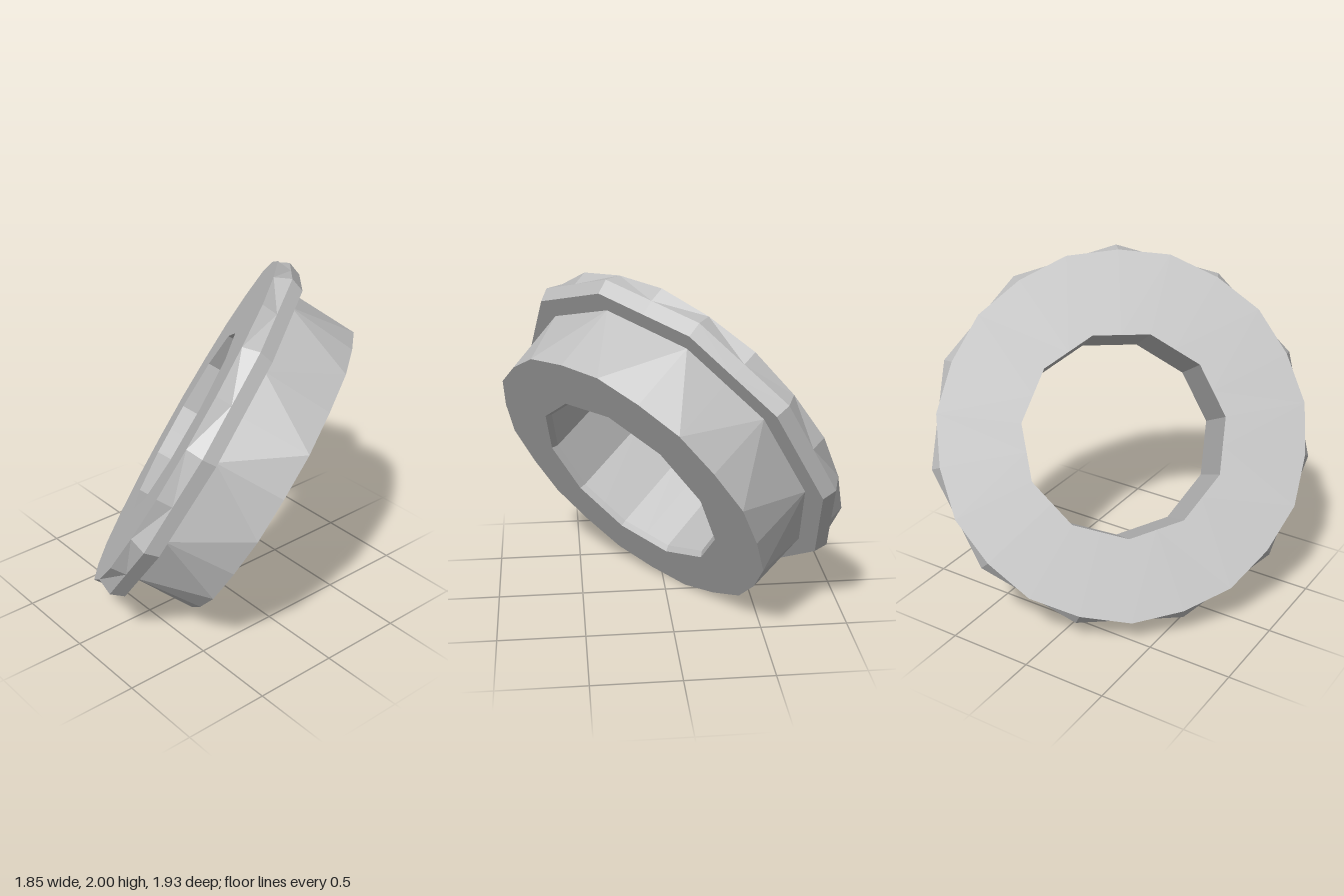
import * as THREE from 'three';

const SIDES = 11, N = SIDES * 2;
const FLAT = Math.cos(Math.PI / SIDES); // radius factor at the middle of a polygon side

// A ring of 22 points: separate radii for even and odd points turn it into an 11-gon
function ring(even, odd, depth) {
  return Array.from({ length: N }, (_, j) => {
    const a = (j / N) * Math.PI * 2, r = j % 2 ? odd : even;
    return [r * Math.cos(a), r * Math.sin(a), -depth];
  });
}
const evenRing = (r, d) => ring(r, r * FLAT, d);
const oddRing = (r, d) => ring(r * FLAT, r, d);

// Skin a list of rings with alternating diagonals, giving zigzag facets
function loft(rings) {
  const pos = [];
  for (let i = 0; i < rings.length - 1; i++) {
    const a = rings[i], b = rings[i + 1];
    for (let j = 0; j < N; j++) {
      const k = (j + 1) % N;
      const tris = j % 2
        ? [a[j], b[j], b[k], a[j], b[k], a[k]]
        : [a[j], b[j], a[k], b[j], b[k], a[k]];
      tris.forEach((p) => pos.push(...p));
    }
  }
  const g = new THREE.BufferGeometry();
  g.setAttribute('position', new THREE.Float32BufferAttribute(pos, 3));
  g.computeVertexNormals();
  return g;
}

export function createModel() {
  const model = new THREE.Group();
  model.name = 'flangedRing';
  const grey = new THREE.MeshStandardMaterial({ color: 0xbfbfbf });
  grey.name = 'plainGrey';

  // Tilted frame: local z is the ring axis, pointing out of the flange face
  const n = new THREE.Vector3(-0.66, 0.48, 0.577).normalize();
  const u = new THREE.Vector3(0.19, 0.85, -0.49);
  u.addScaledVector(n, -u.dot(n)).normalize();
  const v = new THREE.Vector3().crossVectors(n, u);
  const body = new THREE.Group();
  body.name = 'tiltedBody';
  body.quaternion.setFromRotationMatrix(new THREE.Matrix4().makeBasis(u, v, n));
  body.position.set(-0.143, 1.075, 0.11);
  model.add(body);

  // Shared rings, by depth behind the flange face
  const boreFront = evenRing(0.585, 0);
  const boreBack = evenRing(0.585, 0.54);
  const boreLip = evenRing(0.605, 0.572);
  const flangeBack = oddRing(1.06, 0.17);
  const barrelStart = oddRing(0.945, 0.17);
  const barrelEnd = ring(0.925, 0.91, 0.572);

  const parts = {
    // front face, bevelled rim and back shoulder
    flange: [boreFront, ring(1.055, 1.045, 0), oddRing(1.09, 0.09), flangeBack, barrelStart],
    // outer wall and end face
    barrel: [barrelStart, barrelEnd, boreLip],
    // inner wall with a small chamfer at the back
    bore: [boreLip, boreBack, boreFront],
  };
  for (const [name, rings] of Object.entries(parts)) {
    const mesh = new THREE.Mesh(loft(rings), grey);
    mesh.name = name;
    body.add(mesh);
  }
  return model;
}
